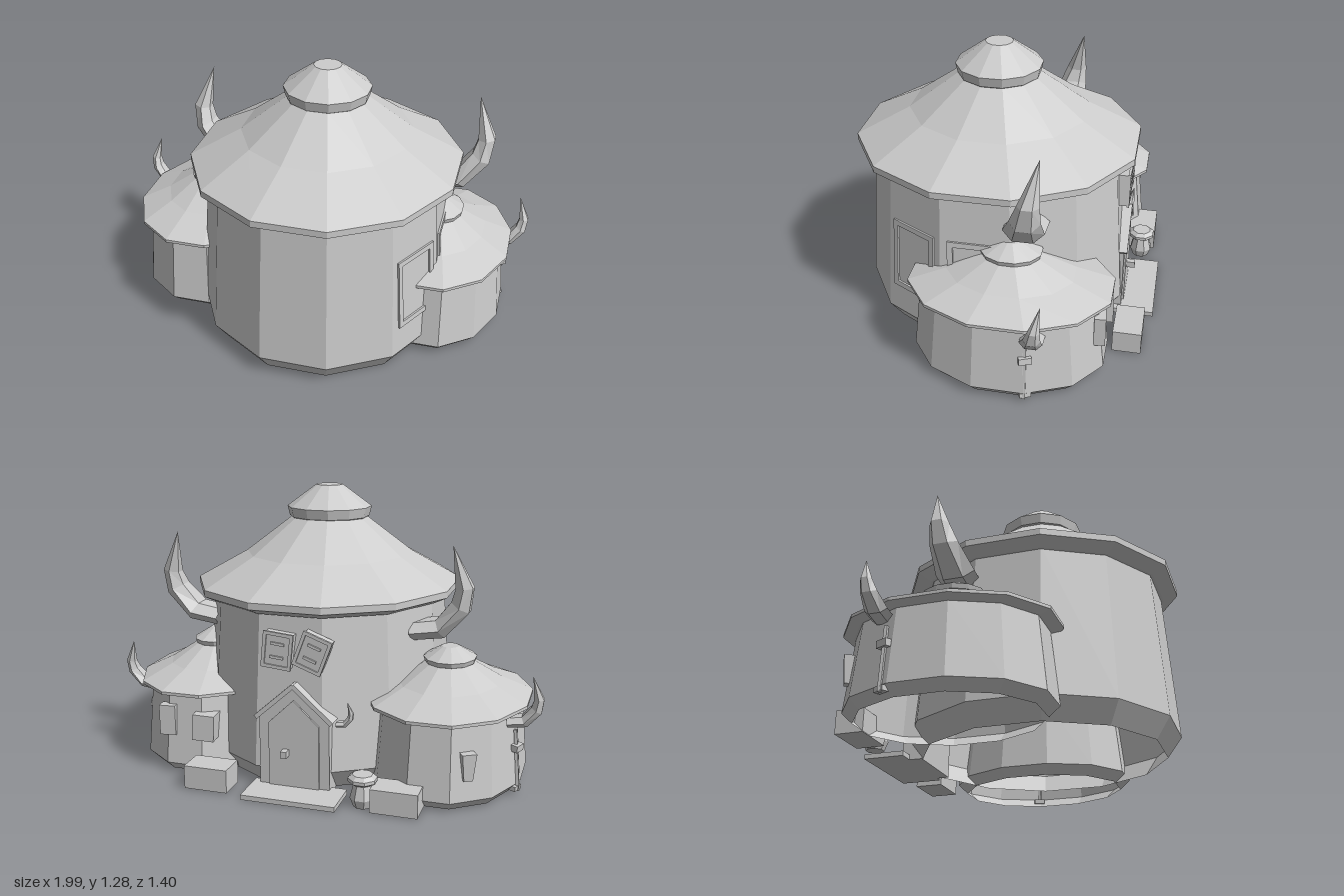
import * as THREE from 'three';

// Huts are open underneath, so the material is two-sided
const clay = new THREE.MeshStandardMaterial({ color: 0xcccccc, side: THREE.DoubleSide });
clay.name = 'plainGrey';

// Faceted mesh helper
function part(name, geometry, x = 0, y = 0, z = 0, ry = 0, rz = 0) {
  const g = geometry.index ? geometry.toNonIndexed() : geometry;
  g.computeVertexNormals();
  const m = new THREE.Mesh(g, clay);
  m.name = name;
  m.position.set(x, y, z);
  m.rotation.set(0, ry, rz);
  return m;
}
const box = (w, h, d) => new THREE.BoxGeometry(w, h, d);

// Twelve-sided lathe; radii are measured to the flat sides
function lathe12(profile) {
  const k = 1 / Math.cos(Math.PI / 12);
  const pts = profile.map(([r, y]) => new THREE.Vector2(r * k, y));
  return new THREE.LatheGeometry(pts, 12, Math.PI / 12);
}

// Round hut: open-bottomed wall with bevelled foot, wide roof and small cap
function hut(name, x, z, sx, sy, sz) {
  const g = new THREE.Group();
  g.name = name;
  const cap = lathe12([[0.165, 1.125], [0.18, 1.135], [0.19, 1.18], [0.06, 1.28], [0, 1.28]]);
  cap.scale(1.06, 1, 1);
  g.add(
    part('wall', lathe12([[0.54, 0], [0.605, 0.095], [0.555, 0.8]])),
    part('roof', lathe12([[0.54, 0.78], [0.57, 0.78], [0.632, 0.81], [0.632, 0.84], [0.395, 0.97], [0.175, 1.135]])),
    part('roofCap', cap)
  );
  g.position.set(x, 0, z);
  g.scale.set(sx, sy, sz);
  return g;
}

// Curved horn swept through elliptical rings: x, y, z, radius, z radius
function horn(name, side, x, y, z, s) {
  const rings = [
    [-0.07, 0.005, 0, 0.045, 0.09], [0.06, 0.025, 0, 0.05, 0.09],
    [0.148, 0.13, -0.022, 0.052, 0.066], [0.165, 0.215, -0.038, 0.044, 0.047],
    [0.115, 0.405, -0.075, 0, 0]
  ];
  const N = 6, pos = [], idx = [];
  rings.forEach((r, i) => {
    const a = rings[Math.max(i - 1, 0)], b = rings[Math.min(i + 1, rings.length - 1)];
    const t = new THREE.Vector2(b[0] - a[0], b[1] - a[1]).normalize();
    for (let j = 0; j < N; j++) {
      const ang = (j + 0.5) / N * 2 * Math.PI;
      const c = Math.cos(ang) * r[3], d = Math.sin(ang) * r[4];
      pos.push(side * s * (r[0] - t.y * c), s * (r[1] + t.x * c), s * (r[2] + d));
    }
  });
  const tri = (a, b, c) => (side > 0 ? idx.push(a, b, c) : idx.push(a, c, b));
  for (let i = 0; i < rings.length - 1; i++) {
    for (let j = 0; j < N; j++) {
      const k = (j + 1) % N, p = i * N, q = p + N;
      tri(p + j, p + k, q + j);
      tri(p + k, q + k, q + j);
    }
  }
  const g = new THREE.BufferGeometry();
  g.setAttribute('position', new THREE.Float32BufferAttribute(pos, 3));
  g.setIndex(idx);
  return part(name, g, x, y, z);
}

// Gabled slab used for the porch and the door leaf
function gable(w, eave, apex, depth) {
  const s = new THREE.Shape();
  s.moveTo(-w, 0); s.lineTo(w, 0); s.lineTo(w, eave); s.lineTo(0, apex); s.lineTo(-w, eave);
  return new THREE.ExtrudeGeometry(s, { depth, bevelEnabled: false });
}

// Rectangular frame
function frame(w, h, t, d) {
  const s = new THREE.Shape();
  s.moveTo(-w / 2, -h / 2); s.lineTo(w / 2, -h / 2); s.lineTo(w / 2, h / 2); s.lineTo(-w / 2, h / 2);
  const o = new THREE.Path(), a = w / 2 - t, b = h / 2 - t;
  o.moveTo(-a, -b); o.lineTo(-a, b); o.lineTo(a, b); o.lineTo(a, -b);
  s.holes.push(o);
  return new THREE.ExtrudeGeometry(s, { depth: d, bevelEnabled: false });
}

export function createModel() {
  const model = new THREE.Group();
  model.name = 'hutCluster';

  model.add(
    hut('mainHut', 0.07, 0.065, 0.95, 1, 1),
    hut('leftHut', 0.585, -0.09, 0.535, 0.465, 0.7),
    hut('rightHut', -0.56, -0.14, 0.57, 0.473, 0.72),
    horn('mainHornLeft', 1, 0.6, 0.665, -0.155, 1),
    horn('mainHornRight', -1, -0.46, 0.665, -0.155, 1),
    horn('smallHornLeft', 1, 0.885, 0.315, -0.235, 0.55),
    horn('smallHornRight', -1, -0.885, 0.338, -0.315, 0.55),
    horn('porchHorn', -1, -0.17, 0.325, -0.53, 0.28)
  );

  // Cord and brackets beneath each small horn
  for (const [x, z] of [[0.892, -0.205], [-0.889, -0.285]]) {
    const s = Math.sign(x);
    model.add(
      part('hornCord', box(0.014, 0.28, 0.014), x, 0.155, z, 0, s * 0.08),
      part('upperBracket', box(0.035, 0.03, 0.055), x - s * 0.002, 0.215, z, s * 0.4, 0.1),
      part('lowerBracket', box(0.035, 0.022, 0.05), x - s * 0.004, 0.03, z, s * 0.4, 0.1)
    );
  }

  // Porch with gable boards, door and step at the back
  const porch = new THREE.Group();
  porch.name = 'porch';
  porch.position.set(0.04, 0, -0.45);
  porch.rotation.y = Math.PI;
  porch.add(
    part('porchFrame', gable(0.16, 0.33, 0.475, 0.095)),
    part('door', gable(0.115, 0.29, 0.4, 0.009), 0, 0.02, 0.095),
    part('doorKnob', box(0.028, 0.03, 0.04), -0.035, 0.18, 0.122)
  );
  for (const s of [-1, 1]) {
    porch.add(part('gableBoard', box(0.235, 0.02, 0.11), s * 0.086, 0.408, 0.055, 0, -s * 0.73));
  }
  model.add(porch, part('step', box(0.425, 0.022, 0.19), 0.022, 0.011, -0.605));

  // Tilted notice boards over the door
  for (const [x, roll] of [[0.112, -0.1], [-0.045, -0.36]]) {
    const board = new THREE.Group();
    board.name = 'noticeBoard';
    board.position.set(x, 0.635, -0.52);
    board.rotation.set(0, Math.PI, roll);
    board.add(part('board', box(0.125, 0.15, 0.05)), part('boardRim', frame(0.135, 0.16, 0.015, 0.012), 0, 0, 0.02));
    for (const y of [-0.03, 0.03]) board.add(part('slat', box(0.06, 0.012, 0.008), 0, y, 0.029));
    model.add(board);
  }

  // Thin window frames on the main hut's side
  for (const a of [Math.PI / 3, Math.PI / 2]) {
    const w = part('sideWindowFrame', frame(0.24, 0.34, 0.025, 0.009),
      0.07 + Math.sin(a) * 0.555, 0.4, 0.065 + Math.cos(a) * 0.585, Math.atan2(Math.sin(a) / 0.95, Math.cos(a)));
    w.rotation.order = 'YXZ';
    w.rotation.x = -0.07;
    model.add(w);
  }

  // Window boxes on the small huts
  const slit = new THREE.CylinderGeometry(0.045, 0.028, 0.12, 4, 1, false, Math.PI / 4);
  slit.scale(1, 1, 0.7);
  model.add(
    part('windowBox', box(0.1, 0.12, 0.09), 0.485, 0.235, -0.485, 0.1, 0.05),
    part('windowBoxNarrow', box(0.075, 0.14, 0.05), 0.665, 0.25, -0.49, 0.1),
    part('taperedWindow', slit, -0.715, 0.2, -0.525, Math.PI / 6)
  );

  // Crates and a pot beside the door
  const pot = new THREE.LatheGeometry(
    [[0, 0], [0.04, 0], [0.055, 0.04], [0.04, 0.1], [0.064, 0.115], [0.064, 0.13], [0.045, 0.145], [0, 0.145]]
      .map(([r, y]) => new THREE.Vector2(r, y)), 8, Math.PI / 8);
  model.add(
    part('crateLeft', box(0.2, 0.105, 0.13), 0.413, 0.055, -0.6),
    part('crateRight', box(0.205, 0.105, 0.13), -0.435, 0.055, -0.6),
    part('pot', pot, -0.285, 0, -0.6)
  );

  return model;
}
